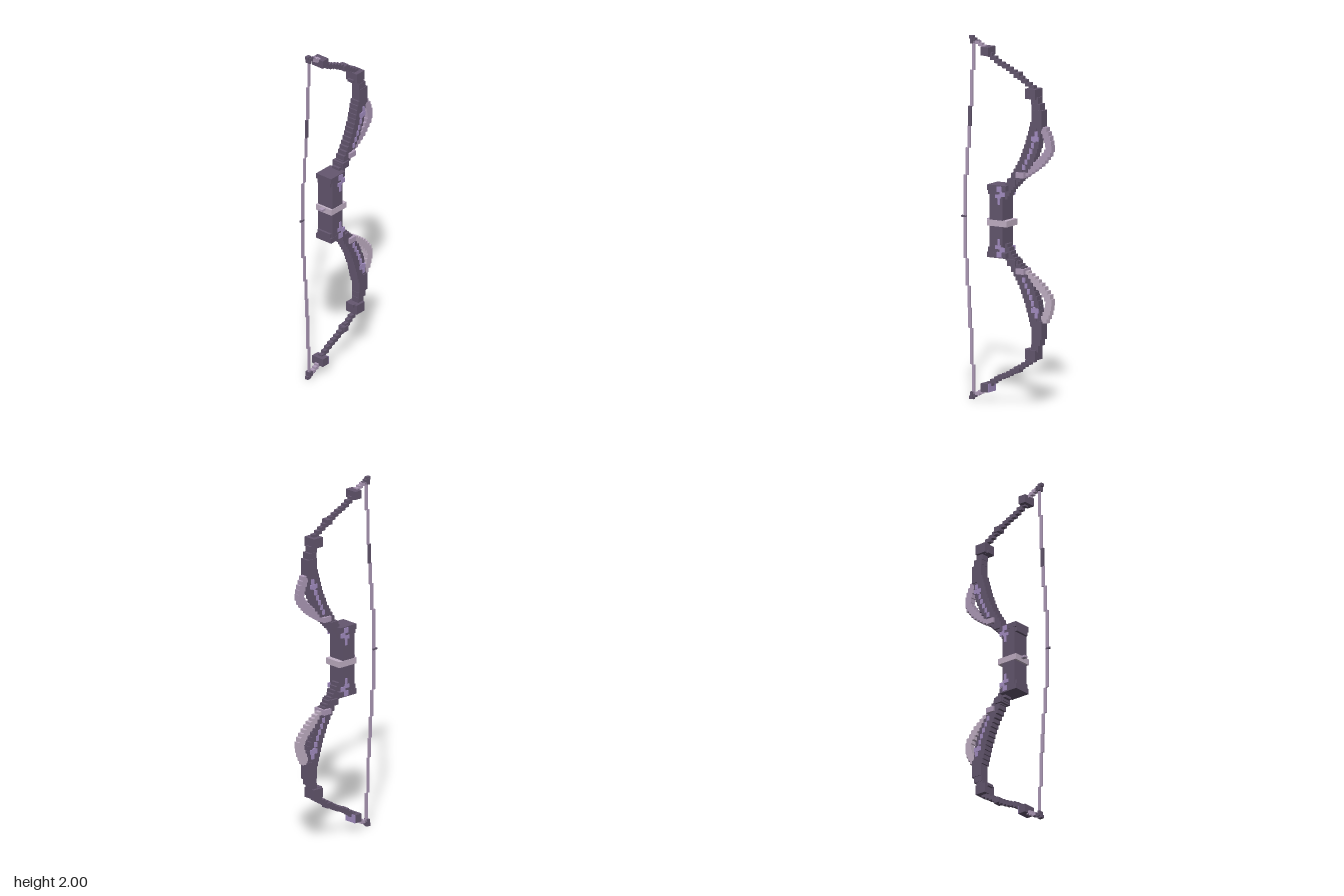
import * as THREE from 'three';

const mat = (name, color) => {
  const m = new THREE.MeshStandardMaterial({ color });
  m.name = name;
  return m;
};

export function createModel() {
  const dark = mat('dark plum', 0x64576f);
  const light = mat('dusty lilac', 0xb09cba);
  const violet = mat('soft violet', 0xa58fc4);
  const pale = mat('pale lilac', 0xc2b1c6);

  const bow = new THREE.Group();
  bow.name = 'bow';

  // Axis-aligned block given by its x and y limits and its depth
  const block = (parent, name, x0, x1, y0, y1, depth, material, z = 0) => {
    const m = new THREE.Mesh(new THREE.BoxGeometry(x1 - x0, y1 - y0, depth), material);
    m.position.set((x0 + x1) / 2, (y0 + y1) / 2, z);
    m.name = name;
    parent.add(m);
  };

  // Upper half is side = 1, lower half is side = -1, mirrored about y = 1
  for (const side of [1, -1]) {
    const half = new THREE.Group();
    half.name = side > 0 ? 'upperHalf' : 'lowerHalf';
    bow.add(half);

    const put = (name, x0, x1, y0, y1, depth, material, z = 0) => {
      const a = side > 0 ? y0 : 2 - y1;
      const b = side > 0 ? y1 : 2 - y0;
      block(half, name, x0, x1, a, b, depth, material, z);
    };
    // Stepped run of blocks along a polyline
    const stairs = (name, pts, count, w, h, depth, material, z = 0) => {
      const path = new THREE.CurvePath();
      for (let i = 1; i < pts.length; i++) {
        path.add(new THREE.LineCurve(new THREE.Vector2(...pts[i - 1]), new THREE.Vector2(...pts[i])));
      }
      for (let i = 0; i < count; i++) {
        const p = path.getPointAt(i / (count - 1));
        put(name, p.x - w / 2, p.x + w / 2, p.y - h / 2, p.y + h / 2, depth, material, z);
      }
    };

    // Grip and its end cap
    put('grip', -0.085, 0, 1.0, 1.17, 0.104, dark);
    put('gripCap', -0.098, 0.02, 1.17, 1.2, 0.106, dark);
    put('gripCapLip', -0.098, -0.06, 1.145, 1.17, 0.09, dark);

    // Carved trim on the faces of the grip
    for (const z of [0.053, -0.053]) {
      put('gripTrim', -0.045, -0.01, 1.13, 1.15, 0.008, violet, z);
      put('gripTrim', -0.03, -0.015, 1.095, 1.13, 0.008, violet, z);
      put('gripTrim', -0.015, 0.015, 1.14, 1.165, 0.008, violet, z);
      put('gripTrim', -0.035, -0.005, 1.165, 1.195, 0.008, violet, z);
    }

    // Limb root rising out of the grip
    stairs('limbRoot', [[-0.01, 1.14], [0.02, 1.19], [0.09, 1.26]], 8, 0.05, 0.036, 0.05, dark);
    put('limbCollar', 0.02, 0.07, 1.205, 1.24, 0.074, dark);
    put('collarBand', 0.075, 0.125, 1.25, 1.28, 0.08, light);

    // Lower limb: a broad inner strand and a narrower outer strand
    stairs('innerStrand', [[0.06, 1.25], [0.11, 1.33], [0.15, 1.43], [0.18, 1.54]], 13, 0.04, 0.045, 0.056, dark);
    stairs('outerStrand', [[0.09, 1.26], [0.16, 1.35], [0.195, 1.44], [0.21, 1.54]], 13, 0.036, 0.04, 0.046, dark);

    // Violet inlay between the strands
    for (const z of [0.028, -0.028]) {
      stairs('limbInlay', [[0.12, 1.31], [0.165, 1.4], [0.2, 1.5]], 7, 0.016, 0.028, 0.008, violet, z);
      put('inlayCrossbar', 0.17, 0.215, 1.46, 1.485, 0.008, violet, z);
    }

    // Light guard bowing out ahead of the limb
    stairs('limbGuard', [[0.08, 1.255], [0.16, 1.3], [0.22, 1.345], [0.265, 1.4],
      [0.274, 1.43], [0.262, 1.48], [0.24, 1.52]], 15, 0.038, 0.038, 0.034, side > 0 ? light : pale);

    // Upright limb section and elbow block
    put('limbUpright', 0.17, 0.235, 1.53, 1.63, 0.056, dark);
    put('limbUpright', 0.168, 0.222, 1.63, 1.665, 0.05, dark);
    put('limbUpright', 0.165, 0.208, 1.66, 1.7, 0.046, dark);
    put('elbowBlock', 0.135, 0.2, 1.69, 1.745, 0.076, dark);
    put('elbowSpur', 0.125, 0.15, 1.688, 1.705, 0.04, dark);

    // Thin stepped arm towards the tip
    stairs('limbArm', [[0.16, 1.75], [0.06, 1.812], [0, 1.846], [-0.05, 1.865], [-0.11, 1.905]],
      12, 0.036, 0.022, 0.026, dark);
    put('armKnuckle', 0.05, 0.085, 1.795, 1.825, 0.044, dark);
    put('armBlock', -0.15, -0.103, 1.902, 1.948, 0.076, dark);
    if (side < 0) put('armBlockPlate', -0.103, -0.1, 1.902, 1.948, 0.076, violet);
    stairs('tipArm', [[-0.15, 1.945], [-0.188, 1.966]], 3, 0.026, 0.018, 0.025, light);
    stairs('tipArm', [[-0.195, 1.97], [-0.212, 1.98]], 2, 0.02, 0.016, 0.022, dark);
    put('tip', -0.242, -0.215, 1.982, 2.0, 0.02, dark);
    put('tipNock', -0.232, -0.217, 1.958, 1.99, 0.032, dark);

    // String, stepping back towards the middle
    const string = [[-0.282, 1.0, 1.23], [-0.268, 1.23, 1.38], [-0.256, 1.38, 1.5],
      [-0.25, 1.5, 1.61], [-0.24, 1.61, 1.81], [-0.228, 1.81, 1.98]];
    string.forEach(([x, y0, y1], i) =>
      put('string', x, x + 0.018, y0, y1, i === 3 ? 0.01 : 0.007, i === 3 && side > 0 ? dark : light));
  }

  // Arrow rest around the middle of the grip
  block(bow, 'arrowRest', -0.098, 0.028, 0.974, 1.008, 0.11, pale);
  block(bow, 'restPeg', -0.125, -0.09, 0.993, 1.005, 0.024, light);
  // String nocking point
  block(bow, 'nockingPoint', -0.295, -0.264, 0.996, 1.006, 0.009, dark);

  return bow;
}
